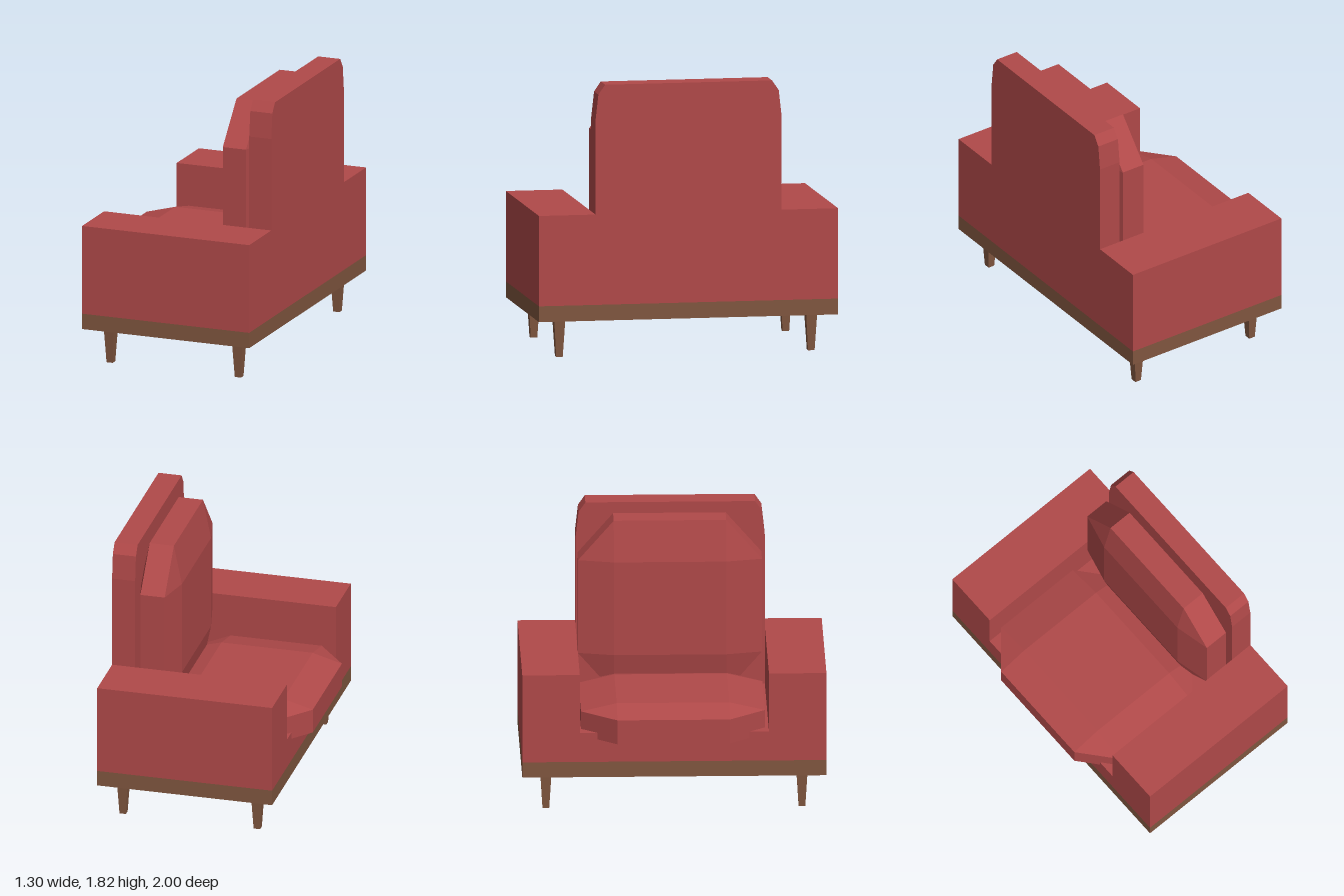
import * as THREE from 'three';

const red = new THREE.MeshStandardMaterial({ color: 0xb04949 });
red.name = 'redFabric';
const brown = new THREE.MeshStandardMaterial({ color: 0x80563f });
brown.name = 'brownWood';

function add(group, name, geometry, material, x = 0, y = 0, z = 0) {
  const mesh = new THREE.Mesh(geometry, material);
  mesh.name = name;
  mesh.position.set(x, y, z);
  group.add(mesh);
  return mesh;
}

// Box given by its minimum and maximum on each axis
function addBox(group, name, material, [x0, x1], [y0, y1], [z0, z1]) {
  return add(group, name, new THREE.BoxGeometry(x1 - x0, y1 - y0, z1 - z0), material,
    (x0 + x1) / 2, (y0 + y1) / 2, (z0 + z1) / 2);
}

// Octagonal cushion lying in xz: half sizes a, b; flat centre u, v;
// rim from -t to t, centre raised by up and lowered by down
function cushionGeometry(a, b, u, v, t, up, down) {
  const rim = [[a, -v], [a, v], [u, b], [-u, b], [-a, v], [-a, -v], [-u, -b], [u, -b]];
  const centre = [[u, -v], [u, v], [-u, v], [-u, -v]];
  const positions = [];
  const tri = (p, q, r) => positions.push(...p, ...q, ...r);
  const quad = (p, q, r, s) => { tri(p, q, r); tri(p, r, s); };
  for (const side of [1, -1]) {
    const y = side * t;
    const yc = side * (t + (side > 0 ? up : down));
    const R = rim.map(([x, z]) => [x, y, z]);
    const C = centre.map(([x, z]) => [x, yc, z]);
    const face = (...p) => {
      if (side > 0) p.reverse();
      if (p.length === 3) tri(...p); else quad(...p);
    };
    face(...C);
    for (let k = 0; k < 4; k++) {
      face(R[(2 * k + 7) % 8], R[2 * k], C[k]);
      face(R[2 * k], R[2 * k + 1], C[(k + 1) % 4], C[k]);
    }
  }
  // Rim walls
  rim.forEach(([x, z], i) => {
    const [nx, nz] = rim[(i + 1) % 8];
    quad([x, -t, z], [x, t, z], [nx, t, nz], [nx, -t, nz]);
  });
  const geometry = new THREE.BufferGeometry();
  geometry.setAttribute('position', new THREE.Float32BufferAttribute(positions, 3));
  geometry.computeVertexNormals();
  return geometry;
}

export function createModel() {
  const chair = new THREE.Group();
  chair.name = 'armchair';

  const depth = [-0.54, 0.65];
  const seatTop = 0.555;

  // Wooden base and upholstered body
  addBox(chair, 'baseFrame', brown, depth, [0.25, 0.355], [-1, 1]);
  addBox(chair, 'seatBody', red, depth, [0.355, seatTop], [-0.622, 0.622]);
  addBox(chair, 'leftArm', red, depth, [0.355, 0.955], [0.622, 1]);
  addBox(chair, 'rightArm', red, depth, [0.355, 0.955], [-1, -0.622]);

  // Backrest with softened top corners
  const half = [[0.622, seatTop], [0.622, 1.58], [0.603, 1.75], [0.558, 1.815]];
  const outline = [...half, ...half.map(([z, y]) => [-z, y]).reverse()];
  const shape = new THREE.Shape(outline.map(([z, y]) => new THREE.Vector2(z, y)));
  const back = new THREE.ExtrudeGeometry(shape, { depth: 0.157, bevelEnabled: false });
  back.rotateY(Math.PI / 2);
  add(chair, 'backrest', back, red, 0.493);

  // Seat cushion, overhanging the front
  add(chair, 'seatCushion', cushionGeometry(0.51, 0.605, 0.31, 0.37, 0.0825, 0.055, 0),
    red, -0.14, 0.5925, -0.007);

  // Back cushion, standing upright
  const backCushion = cushionGeometry(0.59, 0.605, 0.32, 0.37, 0.0825, 0.055, 0.055);
  backCushion.rotateZ(Math.PI / 2);
  add(chair, 'backCushion', backCushion, red, 0.3775, 1.16, -0.007);

  // Tapered square legs
  const leg = new THREE.CylinderGeometry(0.037 * Math.SQRT2, 0.022 * Math.SQRT2, 0.25, 4)
    .rotateY(Math.PI / 4).toNonIndexed();
  leg.computeVertexNormals();
  for (const x of [-0.4, 0.513]) {
    for (const z of [-0.842, 0.842]) {
      add(chair, `${x < 0 ? 'front' : 'back'}${z > 0 ? 'Left' : 'Right'}Leg`, leg, brown, x, 0.125, z);
    }
  }
  return chair;
}
